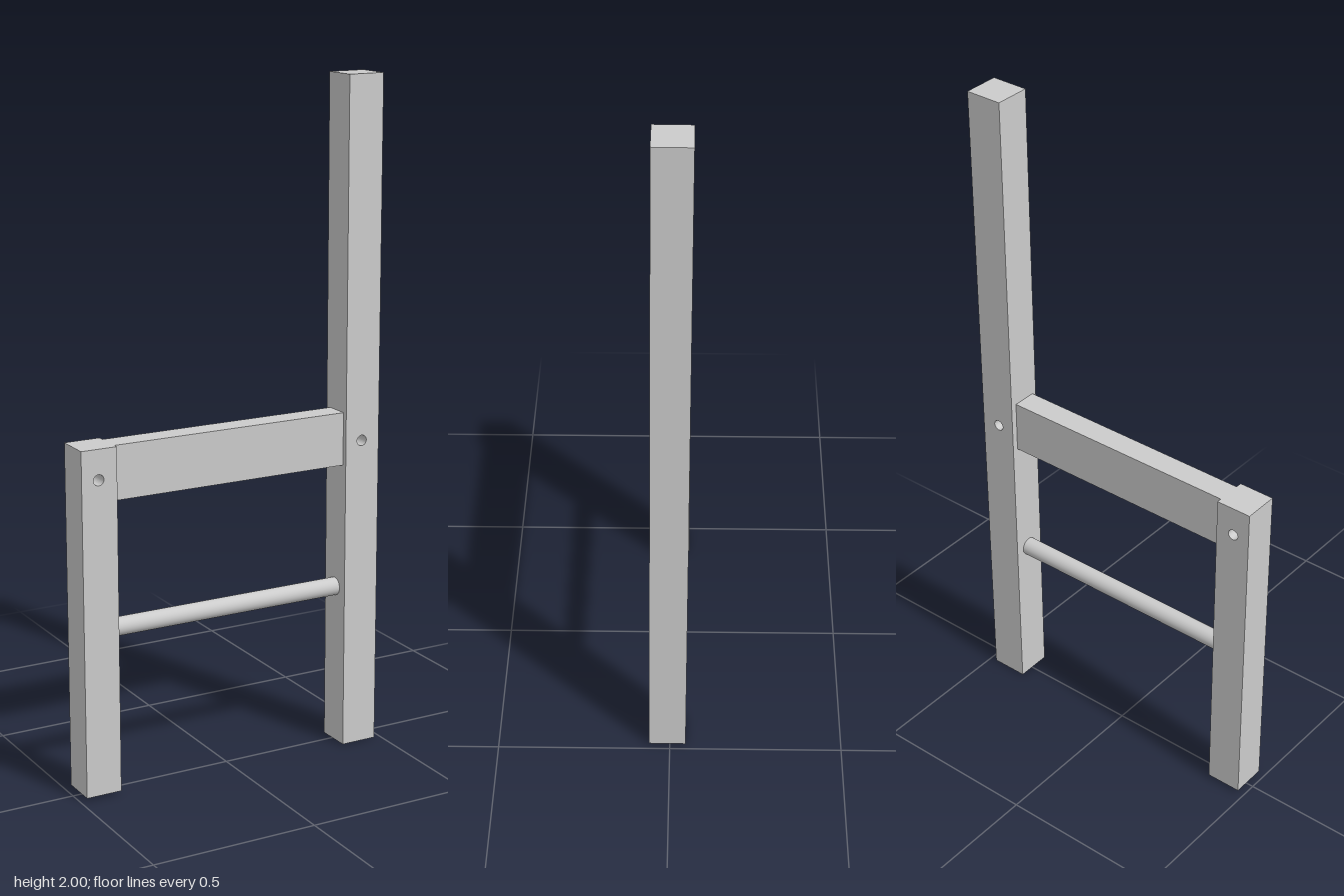
import * as THREE from 'three';

const material = new THREE.MeshStandardMaterial({ color: 0xcccccc });

function add(group, name, geometry, x, y, z) {
  const mesh = new THREE.Mesh(geometry, material);
  mesh.name = name;
  mesh.position.set(x, y, z);
  group.add(mesh);
  return mesh;
}

// Upright square bar with a round hole drilled from front to back
function drilledBar(width, height, depth, holeX, holeY, holeRadius) {
  const w = width / 2, h = height / 2;
  const shape = new THREE.Shape([
    new THREE.Vector2(-w, -h), new THREE.Vector2(w, -h),
    new THREE.Vector2(w, h), new THREE.Vector2(-w, h),
  ]);
  const hole = new THREE.Path();
  hole.absarc(holeX, holeY, holeRadius, 0, Math.PI * 2, true);
  shape.holes.push(hole);
  const geometry = new THREE.ExtrudeGeometry(shape, { depth, bevelEnabled: false, curveSegments: 16 });
  return geometry.translate(0, 0, -depth / 2);
}

export function createModel() {
  const group = new THREE.Group();
  group.name = 'chairSideFrame';

  // Short leg, with its peg hole near the top
  add(group, 'shortLeg', drilledBar(0.108, 1.018, 0.107, -0.002, 0.421, 0.016), -0.428, 0.519, 0.003);

  // Tall post, leaning very slightly to the back
  const post = add(group, 'tallPost', drilledBar(0.112, 2, 0.107, -0.002, -0.06, 0.016), 0.424, 1, 0);
  post.rotation.x = -0.0075;

  // Rail and round stretcher between the uprights
  add(group, 'seatRail', new THREE.BoxGeometry(0.744, 0.158, 0.073), -0.003, 0.948, 0.002);
  const stretcher = new THREE.CylinderGeometry(0.027, 0.027, 0.744, 32).rotateZ(Math.PI / 2);
  add(group, 'stretcher', stretcher, -0.003, 0.487, 0.003);

  return group;
}
